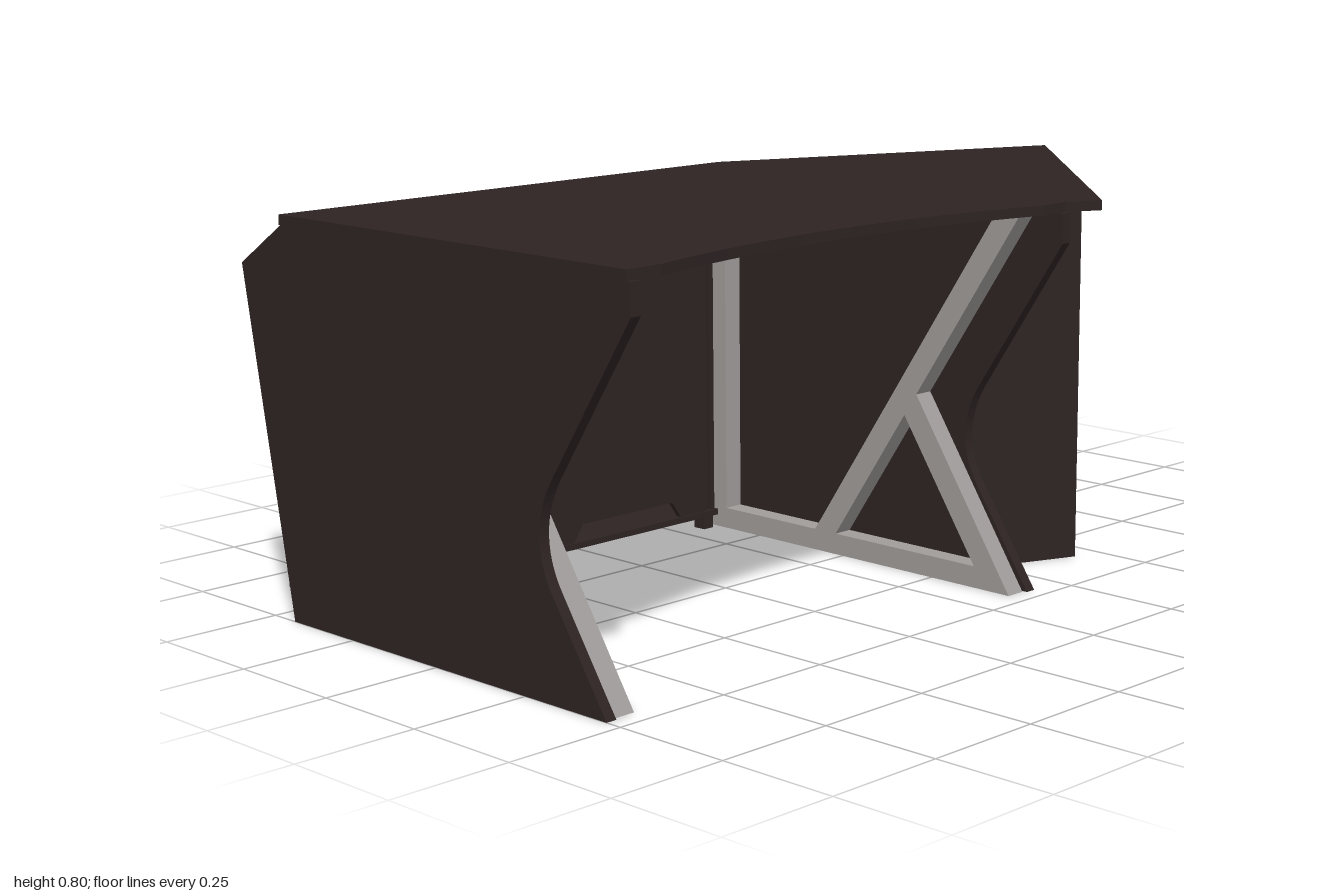
import * as THREE from 'three';

const brown = new THREE.MeshStandardMaterial({ color: 0x2e2323 });
brown.name = 'dark wood';
const grey = new THREE.MeshStandardMaterial({ color: 0xa09c9a });
grey.name = 'grey metal';

function add(parent, name, geometry, material = brown) {
  const mesh = new THREE.Mesh(geometry, material);
  mesh.name = name;
  parent.add(mesh);
  return mesh;
}

// box given by its limits on each axis
function box(parent, name, [x0, x1], [y0, y1], [z0, z1], material) {
  const g = new THREE.BoxGeometry(x1 - x0, y1 - y0, z1 - z0);
  g.translate((x0 + x1) / 2, (y0 + y1) / 2, (z0 + z1) / 2);
  return add(parent, name, g, material);
}

const extrude = (shape, depth) =>
  new THREE.ExtrudeGeometry(shape, { depth, bevelEnabled: false, curveSegments: 20 });
const polygon = (points) => new THREE.Shape(points.map(([a, b]) => new THREE.Vector2(a, b)));

// horizontal board: shape drawn in (x, -z)
function board(parent, name, shape, y0, y1) {
  add(parent, name, extrude(shape, y1 - y0).rotateX(-Math.PI / 2).translate(0, y0, 0));
}

// upright plate across x: shape drawn in (-z, y)
function plate(parent, name, shape, x0, x1, material) {
  add(parent, name, extrude(shape, x1 - x0).rotateY(Math.PI / 2).translate(x0, 0, 0), material);
}

// door with a trapezoid finger notch in its lower edge
function door(parent, [x0, x1], [y0, y1], z, thick, notchWidth, notchHeight) {
  const c = (x0 + x1) / 2, h = notchWidth / 2;
  const s = polygon([
    [x0, y0], [c - h, y0], [c - h + notchHeight * 0.7, y0 + notchHeight],
    [c + h - notchHeight * 0.7, y0 + notchHeight], [c + h, y0], [x1, y0], [x1, y1], [x0, y1],
  ]);
  add(parent, 'door', extrude(s, thick).translate(0, 0, z));
}

// side panel with a rounded waist at the front
function sidePanelShape() {
  const s = new THREE.Shape();
  s.moveTo(0.435, 0);
  s.lineTo(0.565, 0.695);
  s.lineTo(0.435, 0.78);
  s.lineTo(-0.54, 0.78);
  s.lineTo(-0.54, 0.72);
  s.lineTo(-0.333, 0.41);
  s.quadraticCurveTo(-0.26, 0.3, -0.333, 0.195);
  s.lineTo(-0.465, 0);
  return s;
}

function createLegFrame(x0, x1) {
  const frame = new THREE.Group();
  frame.name = 'legFrame';
  box(frame, 'bottomRail', [x0, x1], [0, 0.045], [-0.4, 0.41], grey);
  box(frame, 'backPost', [x0, x1], [0.045, 0.78], [-0.4, -0.35], grey);
  plate(frame, 'upperStrut', polygon([[0.08, 0.045], [-0.415, 0.78], [-0.475, 0.78], [0.02, 0.045]]), x0, x1, grey);
  plate(frame, 'lowerStrut', polygon([[-0.395, 0], [-0.173, 0.332], [-0.205, 0.38], [-0.457, 0]]), x0, x1, grey);
  return frame;
}

function createBackCabinet() {
  const cab = new THREE.Group();
  cab.name = 'backCabinet';
  const zs = [-0.565, -0.365];
  box(cab, 'cabinetTop', [-0.918, 0.088], [0.683, 0.697], zs);
  box(cab, 'cabinetBottom', [-0.918, 0.088], [0.03, 0.043], zs);
  for (const x of [-0.912, 0.07]) box(cab, 'cabinetSide', [x, x + 0.012], [0.043, 0.683], [-0.56, -0.37]);
  // doors on both faces
  for (const z of [-0.56, -0.382]) {
    door(cab, [-0.89, -0.418], [0.043, 0.681], z, 0.012, 0.31, 0.036);
    door(cab, [-0.412, 0.06], [0.043, 0.681], z, 0.012, 0.31, 0.036);
  }
  for (const x of [-0.91, 0.055])
    for (const z of [-0.555, -0.405]) box(cab, 'foot', [x, x + 0.027], [0, 0.03], [z, z + 0.03]);
  return cab;
}

// cabinet under the return, turned by 22.5 degrees about its front corner
function createSideCabinet() {
  const cab = new THREE.Group();
  cab.name = 'sideCabinet';
  box(cab, 'frontPanel', [-0.59, 0], [0, 0.78], [-0.018, 0]);
  for (const x of [-0.588, -0.016]) box(cab, 'cabinetSide', [x, x + 0.015], [0.016, 0.68], [-0.253, -0.018]);
  box(cab, 'cabinetBottom', [-0.588, -0.001], [0.002, 0.016], [-0.253, -0.018]);
  door(cab, [-0.572, -0.297], [0.018, 0.679], -0.252, 0.014, 0.15, 0.02);
  door(cab, [-0.293, -0.018], [0.018, 0.679], -0.252, 0.014, 0.15, 0.02);
  cab.position.set(0.74, 0, 0.045);
  cab.rotation.y = -Math.PI / 8;
  return cab;
}

// upright panel and tie board holding up the front of the return
function createReturnSupport() {
  const g = new THREE.Group();
  g.name = 'returnSupport';
  box(g, 'supportPanel', [-0.28, 0], [0, 0.78], [-0.018, 0]);
  box(g, 'tieBoard', [-0.125, -0.107], [0.25, 0.45], [-0.43, -0.016]);
  g.position.set(0.437, 0, 0.362);
  g.rotation.y = -Math.PI / 8;
  return g;
}

export function createModel() {
  const desk = new THREE.Group();
  desk.name = 'desk';

  // main top with a concave front edge
  const top = new THREE.Shape();
  top.moveTo(-1, 0.44);
  top.lineTo(-1, -0.53);
  top.lineTo(-0.92, -0.53);
  top.quadraticCurveTo(-0.41, -0.394, 0.1, -0.53);
  top.lineTo(0.17, -0.53);
  top.lineTo(0.17, 0.44);
  board(desk, 'mainTop', top, 0.78, 0.8);

  // angled return top and the lower shelf top behind it
  board(desk, 'returnTop', polygon([[0.171, 0.44], [0.171, -0.53], [0.24, -0.565], [0.925, 0.128]]), 0.78, 0.8);
  board(desk, 'sideCabinetTop', polygon([[0.174, 0.537], [0.19, 0.19], [0.75, -0.047], [0.998, 0.198]]), 0.68, 0.7);

  plate(desk, 'sidePanel', sidePanelShape(), -1, -0.977);
  plate(desk, 'sidePanel', sidePanelShape(), 0.149, 0.172);
  desk.add(createLegFrame(-0.972, -0.928), createLegFrame(0.1, 0.144));
  desk.add(createBackCabinet(), createSideCabinet(), createReturnSupport());
  return desk;
}
